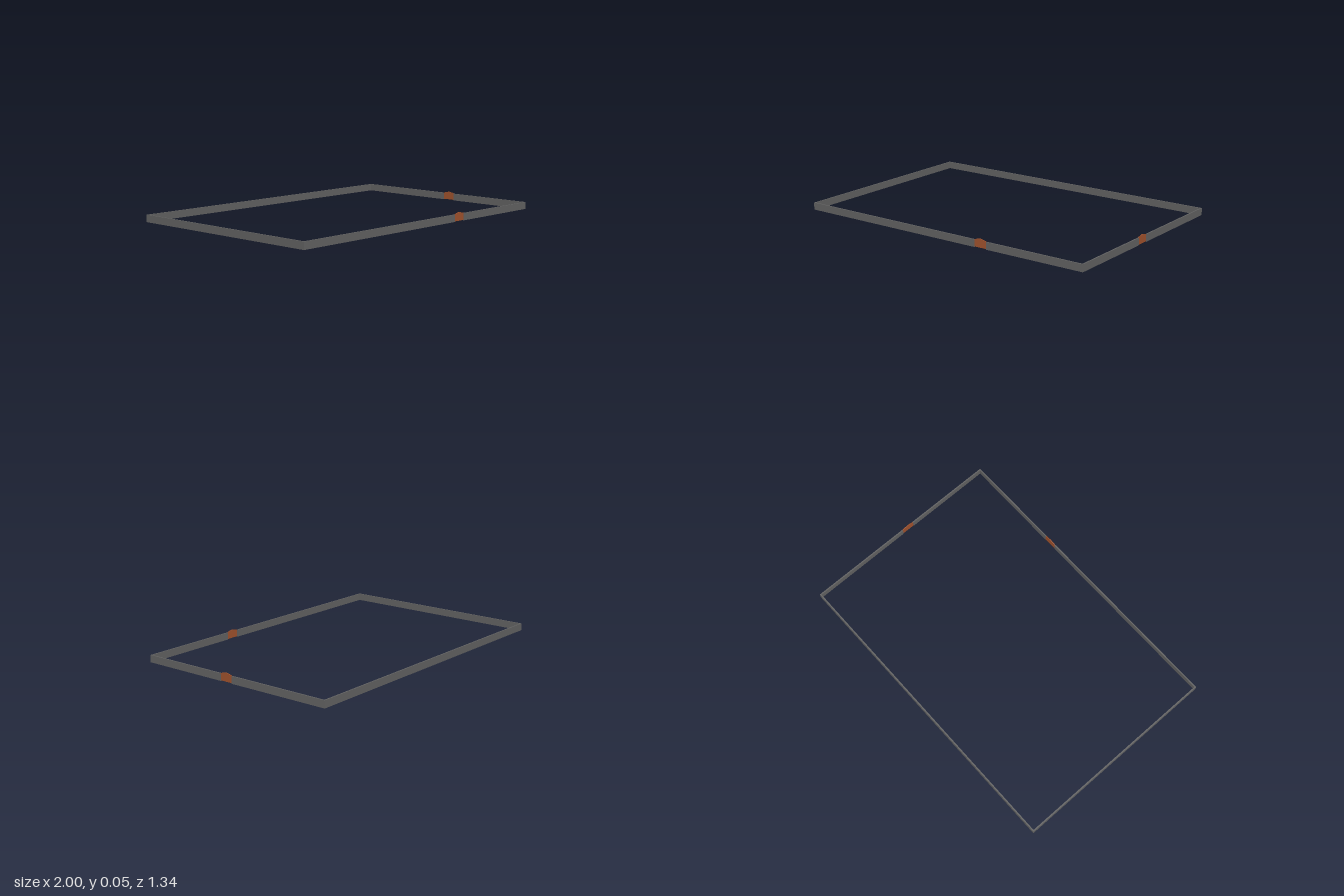
import * as THREE from 'three';

const W = 2, D = 1.336, H = 0.045, T = 0.008;
const GATE_W = 0.084, POST_W = 0.01;

export function createModel() {
  const model = new THREE.Group();
  model.name = 'fencedYard';
  const grey = new THREE.MeshStandardMaterial({ color: 0x626262 });
  grey.name = 'fenceGrey';
  const brown = new THREE.MeshStandardMaterial({ color: 0xa0522d });
  brown.name = 'gateBrown';

  // Box running along local x from a to b
  function span(parent, name, a, b, thickness = T) {
    const mesh = new THREE.Mesh(new THREE.BoxGeometry(b - a, H, thickness), grey);
    mesh.name = name;
    mesh.position.set((a + b) / 2, H / 2, 0);
    parent.add(mesh);
  }

  // Gate leaf with a low arched top
  function gate(parent, name, x) {
    const h = GATE_W / 2;
    const shape = new THREE.Shape();
    shape.moveTo(-h, 0.003);
    shape.lineTo(h, 0.003);
    shape.lineTo(h, 0.046);
    shape.quadraticCurveTo(h * 0.5, 0.052, 0, 0.055);
    shape.quadraticCurveTo(-h * 0.5, 0.052, -h, 0.046);
    const geo = new THREE.ExtrudeGeometry(shape, { depth: 0.005, bevelEnabled: false, curveSegments: 4 });
    geo.translate(0, 0, -0.0025);
    const mesh = new THREE.Mesh(geo, brown);
    mesh.name = name;
    mesh.position.x = x;
    parent.add(mesh);
  }

  // One side of the fence, optionally broken by a gate between two posts
  function side(name, length, gateX) {
    const group = new THREE.Group();
    group.name = name;
    const e = length / 2;
    if (gateX === undefined) {
      span(group, name + 'Panel', -e, e);
    } else {
      const inner = GATE_W / 2, outer = inner + POST_W;
      span(group, name + 'PanelA', -e, gateX - outer);
      span(group, name + 'PanelB', gateX + outer, e);
      span(group, name + 'PostA', gateX - outer, gateX - inner);
      span(group, name + 'PostB', gateX + inner, gateX + outer);
      gate(group, name + 'Gate', gateX);
    }
    model.add(group);
    return group;
  }

  // Long sides
  side('frontFence', W, 0.313).position.z = D / 2 - T / 2;
  side('backFence', W).position.z = -D / 2 + T / 2;

  // Short sides, fitted between the long ones; local x points to -z
  const left = side('leftFence', D - 2 * T, -0.048);
  left.rotation.y = Math.PI / 2;
  left.position.x = W / 2 - T / 2;
  const right = side('rightFence', D - 2 * T);
  right.rotation.y = Math.PI / 2;
  right.position.x = -W / 2 + T / 2;

  return model;
}
